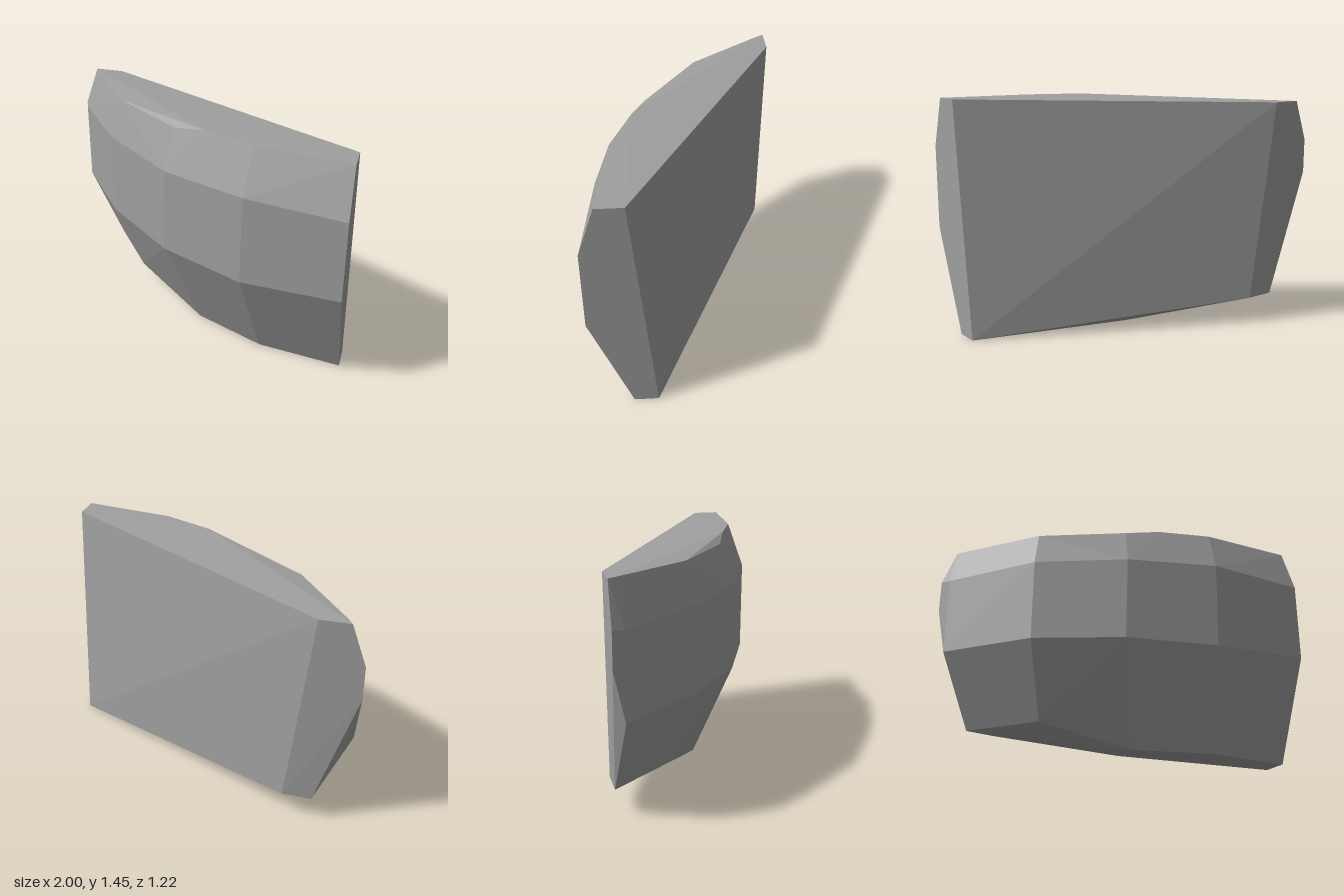
import * as THREE from 'three';
import { ConvexGeometry } from 'three/addons/geometries/ConvexGeometry.js';

// A faceted shard: outer curved face in four rows, flat back and flat cut end.
export function createModel() {
  const group = new THREE.Group();
  group.name = 'shard';
  const stone = new THREE.MeshStandardMaterial({ color: 0xa0a0a0 });
  stone.name = 'grey stone';
  stone.flatShading = true;

  // Each row runs from the cut end round to the narrow end: [x, y, z]
  const topRim = [
    [1, 1.45, 0.51], [0.43, 1.45, 0.43], [0.12, 1.45, 0.30],
    [-0.09, 1.41, 0.22], [-0.55, 1.41, -0.11], [-0.88, 1.41, -0.56], [-0.91, 1.41, -0.61],
  ];
  const upperRow = [
    [1, 1.15, 0.605], [0.4, 1.17, 0.525], [-0.13, 1.16, 0.305],
    [-0.6, 1.17, -0.055], [-0.97, 1.15, -0.54], [-1, 1.16, -0.61],
  ];
  const lowerRow = [
    [1, 0.64, 0.60], [0.39, 0.61, 0.518], [-0.14, 0.62, 0.297],
    [-0.6, 0.64, -0.06], [-0.97, 0.64, -0.54], [-1, 0.95, -0.61],
  ];
  const bottomRim = [
    [1, 0, 0.35], [0.48, 0, 0.28], [0.03, 0, 0.085],
    [-0.46, 0.165, -0.18], [-0.76, 0.165, -0.575],
  ];
  // Corners of the flat back and the low point of the underside
  const back = [
    [1, 1.45, 0.35], [-0.73, 1.41, -0.61], [-0.58, 0.165, -0.575],
    [1, 0, 0.205], [0.03, 0, -0.06],
  ];

  const points = [...topRim, ...upperRow, ...lowerRow, ...bottomRim, ...back]
    .map((p) => new THREE.Vector3(...p));
  const body = new THREE.Mesh(new ConvexGeometry(points), stone);
  body.name = 'shardBody';
  group.add(body);
  return group;
}
